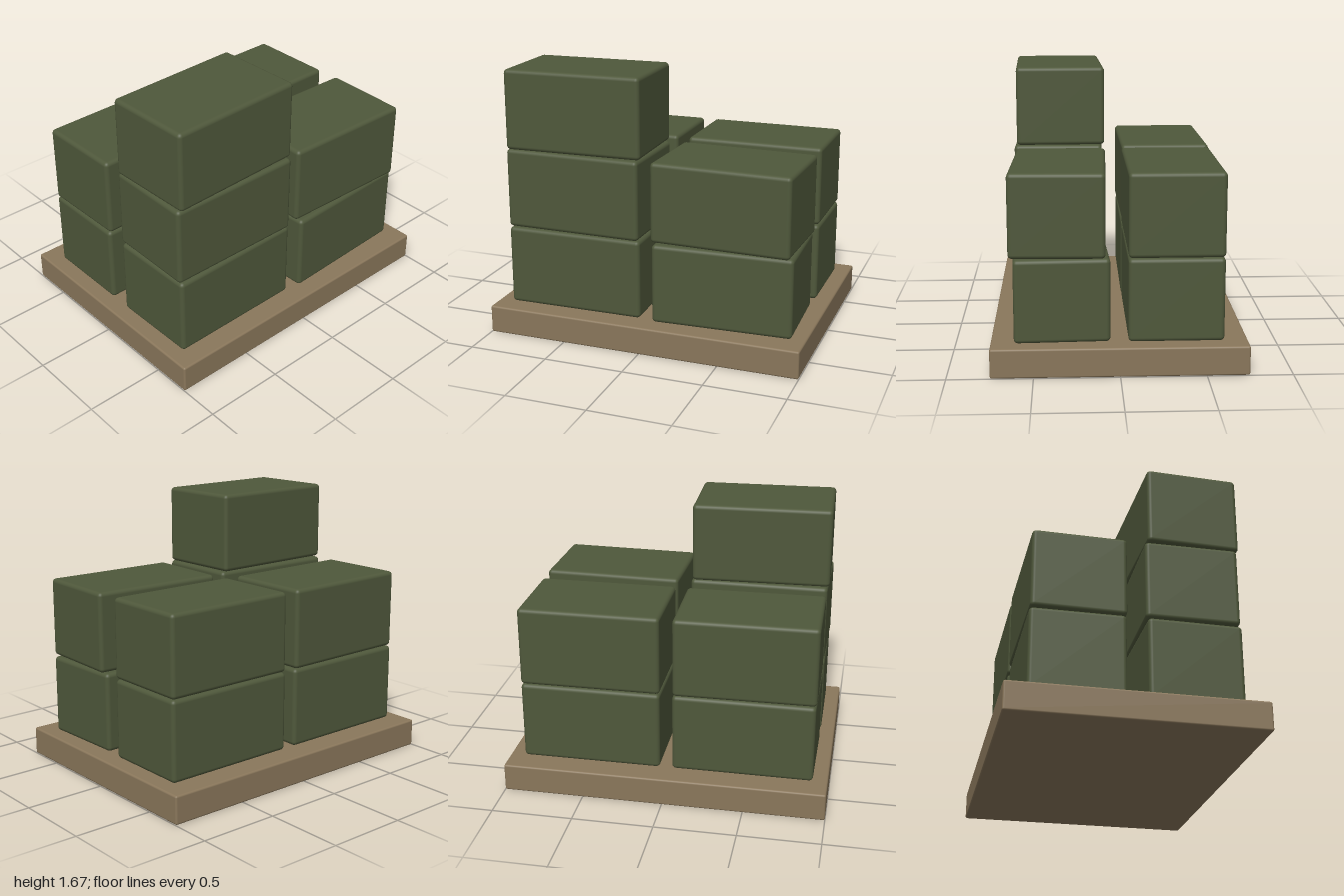
import * as THREE from 'three';
import { RoundedBoxGeometry } from 'three/addons/geometries/RoundedBoxGeometry.js';

const BASE_H = 0.175, CRATE_H = 0.5;

export function createModel() {
  const model = new THREE.Group();
  model.name = 'palletOfCrates';

  const wood = new THREE.MeshStandardMaterial({ color: 0x8a775b });
  wood.name = 'wood tan';
  const green = new THREE.MeshStandardMaterial({ color: 0x4f583b });
  green.name = 'olive green';

  // Pallet slab
  const pallet = new THREE.Mesh(new RoundedBoxGeometry(2, BASE_H, 1.5, 3, 0.012), wood);
  pallet.name = 'pallet';
  pallet.position.y = BASE_H / 2;
  model.add(pallet);

  // Stacks of crates: centre, and the slight twist of each crate from the bottom up
  const crateGeo = new RoundedBoxGeometry(0.87, CRATE_H - 0.003, 0.56, 3, 0.025);
  const stacks = [
    { name: 'frontRight', x: -0.475, z: 0.348, twists: [0.008, -0.014, 0.026] },
    { name: 'frontLeft', x: 0.472, z: 0.349, twists: [0.038, -0.03] },
    { name: 'backRight', x: -0.475, z: -0.33, twists: [-0.004, 0.01] },
    { name: 'backLeft', x: 0.472, z: -0.33, twists: [0, 0.002] },
  ];
  for (const { name, x, z, twists } of stacks) {
    const stack = new THREE.Group();
    stack.name = name + 'Stack';
    stack.position.set(x, BASE_H, z);
    twists.forEach((twist, i) => {
      const crate = new THREE.Mesh(crateGeo, green);
      crate.name = name + 'Crate' + (i + 1);
      crate.position.y = CRATE_H * (i + 0.5);
      crate.rotation.y = twist;
      stack.add(crate);
    });
    model.add(stack);
  }
  return model;
}
